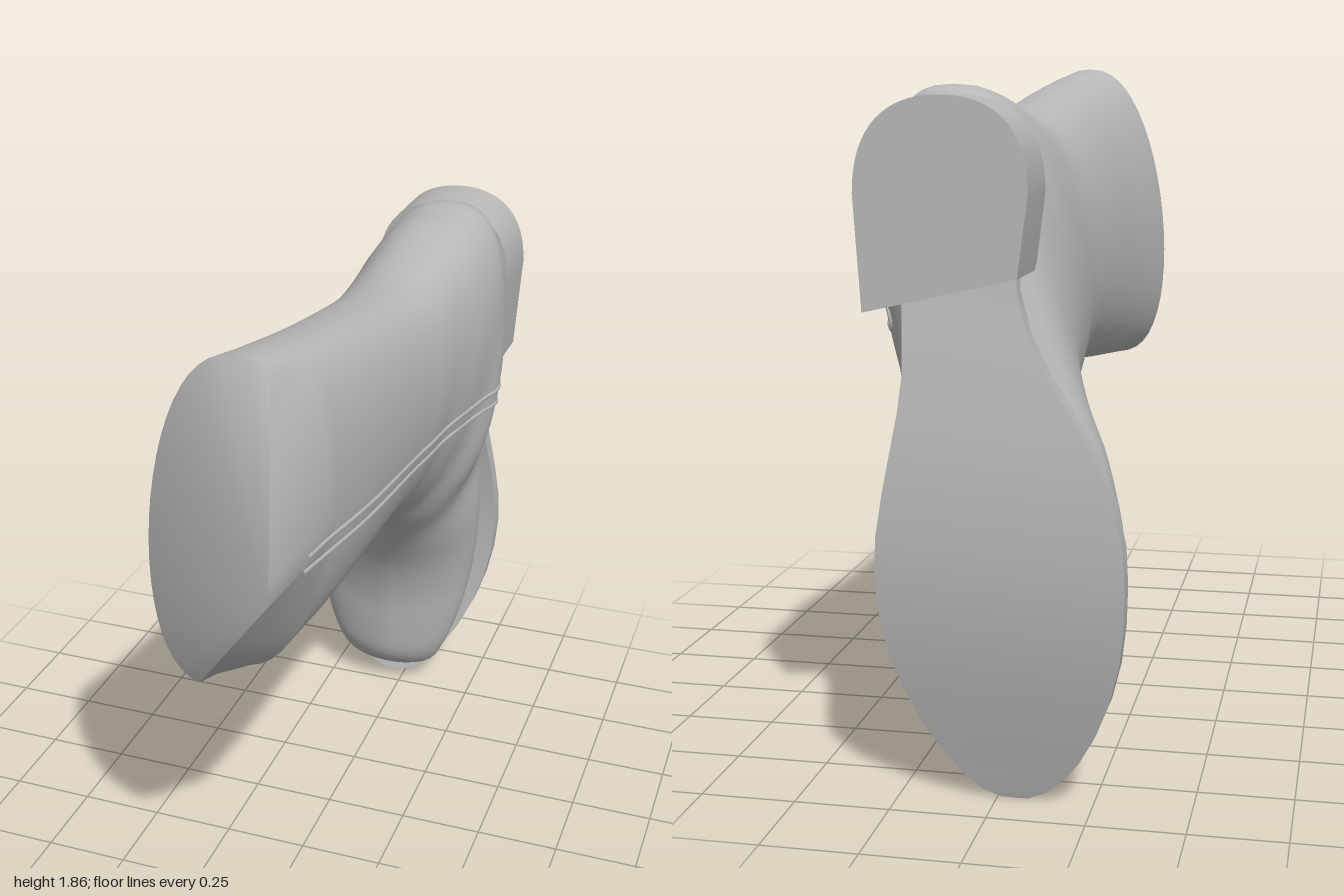
import * as THREE from 'three';
import { toCreasedNormals } from 'three/addons/utils/BufferGeometryUtils.js';

const N = 48; // points around each cross-section

// Cross-sections: [back y, z, front y, z, centre x, half width, squareness towards the sole]
const SECTIONS = [
  [1.84, 0.68, 0.92, 0.66, 0.025, 0.208, 0.82],
  [1.795, 0.4, 0.945, 0.4, 0.054, 0.209, 0.82],
  [1.735, 0, 0.985, 0.05, 0.072, 0.212, 0.82],
  [1.725, -0.2, 0.987, -0.07, 0.079, 0.217, 0.82],
  [1.755, -0.4, 0.97, -0.16, 0.083, 0.22, 0.82],
  [1.79, -0.6, 0.93, -0.25, 0.087, 0.234, 0.8],
  [1.77, -0.785, 0.88, -0.335, 0.092, 0.243, 0.75],
  [1.5, -0.825, 0.805, -0.425, 0.11, 0.243, 0.6],
  [1.25, -0.87, 0.7, -0.515, 0.075, 0.24, 0.6],
  [1.0, -0.9, 0.6, -0.585, 0.046, 0.272, 0.55],
  [0.8, -0.93, 0.5, -0.635, 0.025, 0.285, 0.5],
  [0.6, -0.945, 0.38, -0.67, 0.017, 0.274, 0.5],
  [0.4, -0.927, 0.25, -0.685, 0.01, 0.247, 0.5],
  [0.22, -0.89, 0.14, -0.703, 0.008, 0.2, 0.5],
  [0.1, -0.86, 0.075, -0.75, 0.01, 0.14, 0.6],
  [0.05, -0.84, 0.05, -0.81, 0.015, 0.01, 0.8],
];

// Builds a surface through rows of points, each row a closed ring
function loft(rows) {
  const n = rows[0].length, index = [];
  for (let i = 0; i < rows.length - 1; i++) {
    for (let j = 0; j < n; j++) {
      const a = i * n + j, b = i * n + (j + 1) % n;
      index.push(a, b, a + n, b, b + n, a + n);
    }
  }
  const g = new THREE.BufferGeometry().setFromPoints(rows.flat());
  g.setIndex(index);
  g.computeVertexNormals();
  return g;
}

// The squarer a section is at the sole, the narrower it gets over the instep
function ringAt(y1, z1, y2, z2, cx, hw, sq) {
  const instep = 1.25 - (sq - 0.5) * 1.34;
  return Array.from({ length: N }, (_, j) => {
    const a = (j / N) * Math.PI * 2, c = Math.cos(a), s = Math.sin(a);
    const u = (1 + c) / 2;
    const y = y2 + (y1 - y2) * u, z = z2 + (z1 - z2) * u;
    const w = Math.sign(s) * Math.pow(Math.abs(s), c > 0 ? sq : instep);
    const lean = 0.11 * (Math.max(y, 0.9) - 1.38);
    return new THREE.Vector3(cx + hw * w + lean, y, z);
  });
}

// Smoothly interpolated cross-sections of the shaft and foot
function upperRows() {
  const curve = (f) => new THREE.CatmullRomCurve3(
    SECTIONS.map((s) => new THREE.Vector3(...f(s))), false, 'catmullrom');
  const back = curve((s) => [0, s[0], s[1]]);
  const front = curve((s) => [0, s[2], s[3]]);
  const size = curve((s) => [s[4], s[5], s[6]]);
  const rows = [], steps = 75;
  for (let i = 0; i <= steps; i++) {
    const t = i / steps, a = back.getPoint(t), b = front.getPoint(t), c = size.getPoint(t);
    rows.push(ringAt(a.y, a.z, b.y, b.z, c.x, Math.max(0.005, c.y), c.z));
  }
  return rows;
}

// Rim of the shaft: the left side is drawn out to a single point
const APEX = new THREE.Vector3(0.205, 1.33, 1);
const J_TOP = 3, J_APEX = 13, J_LOW = 25;
function rimRow() {
  const rim = ringAt(1.86, 0.8, 0.91, 0.77, 0.002, 0.2, 0.82);
  const top = rim[J_TOP].clone(), low = rim[J_LOW].clone();
  for (let j = J_TOP; j <= J_LOW; j++) {
    if (j <= J_APEX) rim[j].lerpVectors(top, APEX, (j - J_TOP) / (J_APEX - J_TOP));
    else rim[j].lerpVectors(APEX, low, (j - J_APEX) / (J_LOW - J_APEX));
  }
  return rim;
}

function capGeometry(rim) {
  const index = [];
  for (let j = J_LOW; j < N + J_TOP; j++) index.push(N, (j + 1) % N, j % N);
  const g = new THREE.BufferGeometry().setFromPoints([...rim, APEX]);
  g.setIndex(index);
  g.computeVertexNormals();
  return g;
}

// Sole stations: [y, right x, left x, inner z, outer z]
const SOLE = [
  [1.4, -0.05, 0.23, -0.82, -0.87],
  [1.3, -0.06, 0.23, -0.83, -0.885],
  [1.2, -0.09, 0.225, -0.855, -0.915],
  [1.1, -0.145, 0.22, -0.87, -0.94],
  [1.0, -0.215, 0.23, -0.888, -0.962],
  [0.9, -0.275, 0.247, -0.905, -0.982],
  [0.8, -0.317, 0.265, -0.918, -0.993],
  [0.7, -0.34, 0.28, -0.925, -0.999],
  [0.6, -0.345, 0.285, -0.925, -0.999],
  [0.5, -0.341, 0.277, -0.92, -0.99],
  [0.4, -0.328, 0.258, -0.91, -0.975],
  [0.3, -0.302, 0.226, -0.897, -0.953],
  [0.2, -0.262, 0.18, -0.878, -0.928],
  [0.12, -0.218, 0.13, -0.858, -0.905],
  [0.06, -0.172, 0.083, -0.842, -0.888],
  [0.02, -0.125, 0.037, -0.832, -0.877],
  [0, -0.08, -0.01, -0.826, -0.87],
];
function soleGeometry() {
  const rows = SOLE.map(([y, xr, xl, zi, zo]) => {
    // The sole twists: its left edge sits further forward in the middle
    const tilt = 0.025 * Math.sin(Math.PI * Math.min(1, y / 1.4));
    return [[xr, zo], [xl, zo + tilt], [xl, zi], [xr, zi - 0.7 * tilt]]
      .map(([x, z]) => new THREE.Vector3(x, y, z));
  });
  const g = loft(rows);
  const n = (rows.length - 1) * 4;
  g.setIndex([...g.index.array, n, n + 1, n + 2, n, n + 2, n + 3]);
  return toCreasedNormals(g, 0.6);
}

function heelGeometry() {
  const s = new THREE.Shape();
  s.moveTo(-0.085, 1.345);
  s.lineTo(0.295, 1.258);
  s.lineTo(0.315, 1.54);
  s.bezierCurveTo(0.315, 1.7, 0.23, 1.772, 0.105, 1.772);
  s.bezierCurveTo(-0.03, 1.772, -0.11, 1.7, -0.11, 1.54);
  s.closePath();
  const g = new THREE.ExtrudeGeometry(s, { depth: 0.21, bevelEnabled: false, curveSegments: 16 });
  g.translate(0, 0, -0.99);
  // The base leans slightly and the block thins towards the arch on the left
  const p = g.attributes.position;
  for (let i = 0; i < p.count; i++) {
    if (p.getZ(i) < -0.9) p.setZ(i, -1 + (p.getY(i) - 1.26) * 0.025);
    else if (p.getY(i) < 1.3) p.setZ(i, -0.86);
  }
  g.computeVertexNormals();
  return toCreasedNormals(g, 0.6);
}

export function createModel() {
  const boot = new THREE.Group();
  boot.name = 'boot';
  const grey = new THREE.MeshStandardMaterial({ color: 0xb8b8b8 });
  grey.name = 'grey leather';
  const add = (name, geometry) => {
    const m = new THREE.Mesh(geometry, grey);
    m.name = name;
    boot.add(m);
    return m;
  };

  const rim = rimRow();
  const upper = add('upper', loft([rim, ...upperRows()]));
  add('shaftCap', capGeometry(rim));
  add('sole', soleGeometry());
  add('heel', heelGeometry());

  // Zip on the left side: two raised edges joined at the ankle, laid on the upper
  const ray = new THREE.Raycaster();
  const onSide = (y, z) => {
    ray.set(new THREE.Vector3(2, y, z), new THREE.Vector3(-1, 0, 0));
    return new THREE.Vector3(ray.intersectObject(upper)[0].point.x, y, z);
  };
  const path = [];
  const zs = Array.from({ length: 15 }, (_, i) => 0.78 - (i / 14) * 1.53);
  for (const z of zs) path.push(onSide(1.266 + 0.078 * z + 0.023, z));
  for (const z of zs.reverse()) path.push(onSide(1.266 + 0.078 * z - 0.023, z));
  add('zipEdge', new THREE.TubeGeometry(new THREE.CatmullRomCurve3(path), 140, 0.007, 6));
  return boot;
}
